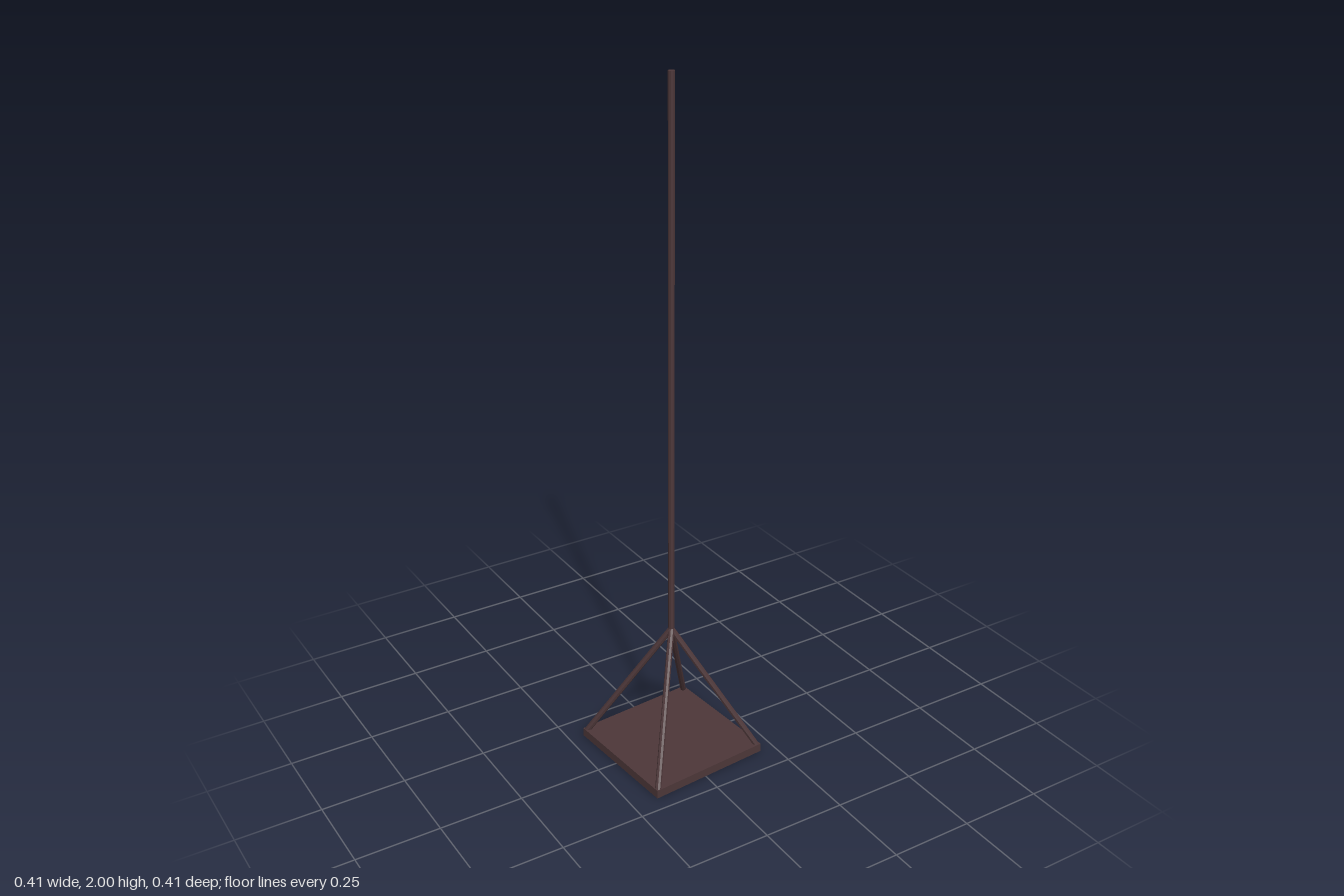
import * as THREE from 'three';

const PLATE_SIDE = 0.378, PLATE_HEIGHT = 0.026, APEX_Y = 0.4, ROD_RADIUS = 0.009;

export function createModel() {
  const model = new THREE.Group();
  const material = new THREE.MeshStandardMaterial({ color: 0x4d3739, flatShading: true });

  const add = (name, geometry) => {
    const mesh = new THREE.Mesh(geometry, material);
    mesh.name = name;
    model.add(mesh);
    return mesh;
  };

  // Eight-sided rod between two points
  const rod = (name, from, to) => {
    const axis = to.clone().sub(from);
    const mesh = add(name, new THREE.CylinderGeometry(ROD_RADIUS, ROD_RADIUS, axis.length(), 8));
    mesh.position.copy(from).add(to).multiplyScalar(0.5);
    mesh.quaternion.setFromUnitVectors(new THREE.Vector3(0, 1, 0), axis.normalize());
  };

  // Square plate at the bottom
  add('plate', new THREE.BoxGeometry(PLATE_SIDE, PLATE_HEIGHT, PLATE_SIDE)).position.y = PLATE_HEIGHT / 2;

  // Four struts from the plate corners to the foot of the pole
  const apex = new THREE.Vector3(0, APEX_Y, 0);
  const inset = PLATE_SIDE / 2 - 0.008;
  for (const x of [-1, 1]) {
    for (const z of [-1, 1]) {
      const name = (z > 0 ? 'front' : 'back') + (x > 0 ? 'Left' : 'Right') + 'Strut';
      rod(name, new THREE.Vector3(x * inset, 0.02, z * inset), apex);
    }
  }

  // Long hanging pole
  rod('pole', new THREE.Vector3(0, APEX_Y - 0.008, 0), new THREE.Vector3(0, 2, 0));

  // The whole piece hangs slightly turned
  model.rotation.y = 0.084;
  return model;
}
